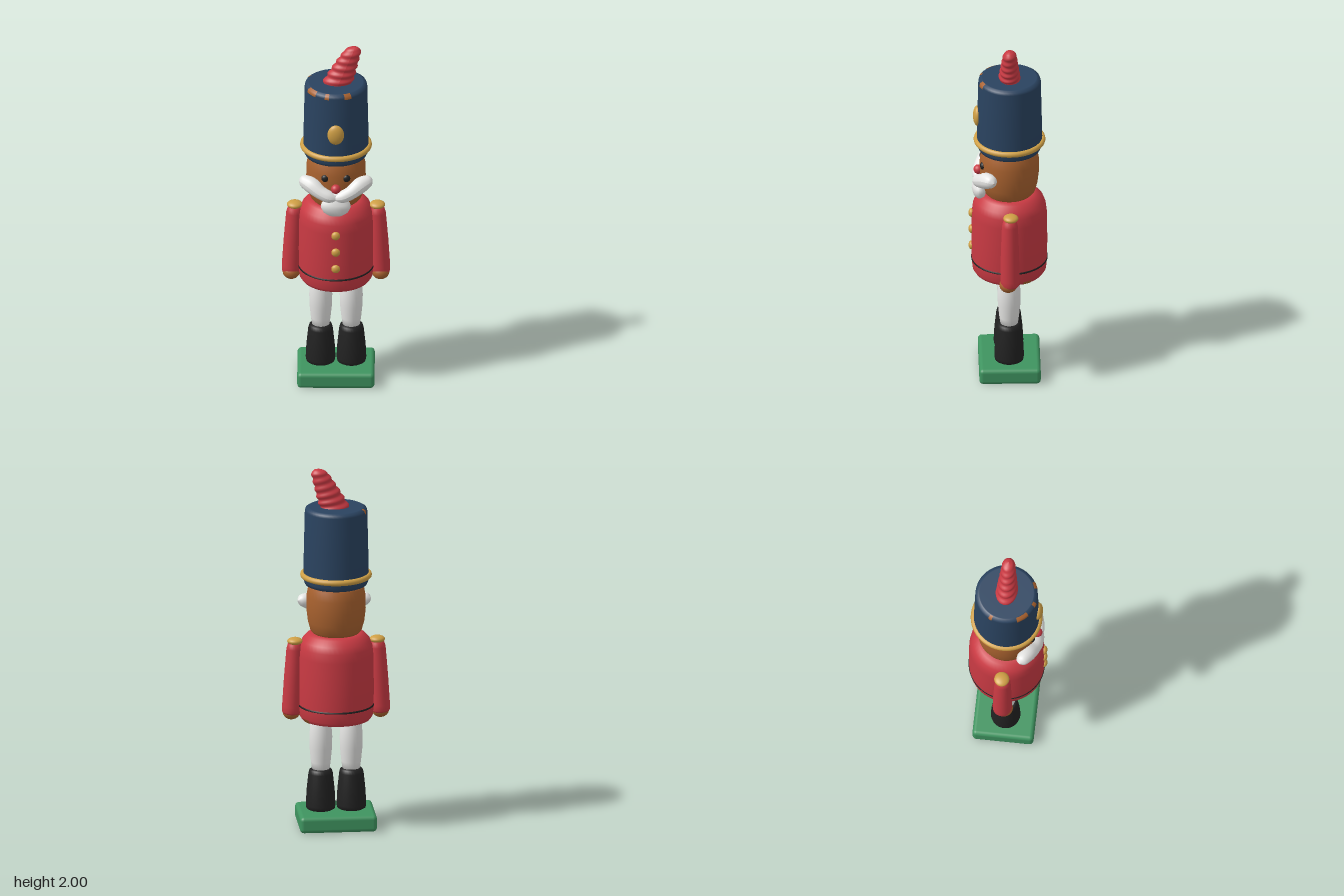
import * as THREE from 'three';
import { RoundedBoxGeometry } from 'three/addons/geometries/RoundedBoxGeometry.js';

const V = (x, y, z) => new THREE.Vector3(x, y, z);

function material(name, color) {
  const m = new THREE.MeshStandardMaterial({ color });
  m.name = name;
  return m;
}

// Turned shape from [radius, height] pairs listed bottom to top
function turned(profile, segments = 40, start = 0, length = Math.PI * 2) {
  return new THREE.LatheGeometry(profile.map(([r, y]) => new THREE.Vector2(r, y)), segments, start, length);
}

// Smooth tube along points [x, y, z, radius]
function taperedTube(points, steps = 24, sides = 18) {
  const path = new THREE.CatmullRomCurve3(points.map(([x, y, z]) => V(x, y, z)));
  const radius = new THREE.CatmullRomCurve3(points.map((p, i) => V(i, p[3], 0)));
  const geometry = new THREE.TubeGeometry(path, steps, 1, sides, false);
  const pos = geometry.attributes.position;
  for (let i = 0; i <= steps; i++) {
    const u = i / steps;
    const t = path.getUtoTmapping(u);
    const c = path.getPointAt(u);
    const r = Math.max(0.001, radius.getPoint(t).y);
    for (let j = 0; j <= sides; j++) {
      const k = i * (sides + 1) + j;
      const p = V(0, 0, 0).fromBufferAttribute(pos, k).sub(c).multiplyScalar(r).add(c);
      pos.setXYZ(k, p.x, p.y, p.z);
    }
  }
  geometry.computeVertexNormals();
  return geometry;
}

// Leaning plume with spiral ridges
function plumeGeometry() {
  const geometry = new THREE.CylinderGeometry(1, 1, 1, 28, 48, true);
  const pos = geometry.attributes.position;
  for (let i = 0; i < pos.count; i++) {
    const t = pos.getY(i) + 0.5;
    const a = Math.atan2(pos.getZ(i), pos.getX(i));
    const ridge = 1 + 0.06 * Math.sin(t * Math.PI * 12 + a);
    const end = Math.sqrt(Math.max(0, 1 - Math.pow(Math.max(0, (t - 0.87) / 0.13), 2)));
    const rx = (0.082 - 0.042 * t) * ridge * end;
    const rz = (0.06 - 0.028 * t) * ridge * end;
    const x = Math.cos(a) * rx;
    pos.setXYZ(i, x + 0.1 * t, 1.765 + 0.235 * t - x * 0.3 * t * (1 - t) * 2, Math.sin(a) * rz);
  }
  geometry.computeVertexNormals();
  return geometry;
}

export function createModel() {
  const model = new THREE.Group();
  model.name = 'toySoldier';
  const red = material('red paint', 0xc93a43);
  const navy = material('navy paint', 0x2a4360);
  const gold = material('gold paint', 0xcf9f45);
  const wood = material('bare wood', 0xa9622f);
  const green = material('green paint', 0x3f9460);
  const white = material('white paint', 0xe6e6e4);
  const black = material('black paint', 0x222222);

  function add(name, geometry, mat, x = 0, y = 0, z = 0) {
    const mesh = new THREE.Mesh(geometry, mat);
    mesh.name = name;
    mesh.position.set(x, y, z);
    model.add(mesh);
    return mesh;
  }
  function ball(name, mat, x, y, z, rx, ry = rx, rz = rx) {
    const mesh = add(name, new THREE.SphereGeometry(1, 24, 16), mat, x, y, z);
    mesh.scale.set(rx, ry, rz);
    return mesh;
  }

  // Base
  add('base', new RoundedBoxGeometry(0.415, 0.09, 0.33, 3, 0.022), green, 0, 0.048, -0.005);

  // Coat with dark belt line
  const coat = [[0, 0.6], [0.165, 0.6], [0.185, 0.605], [0.198, 0.625], [0.203, 0.68], [0.204, 0.8],
    [0.202, 0.96], [0.196, 1.01], [0.183, 1.045], [0.155, 1.075], [0.13, 1.085], [0, 1.09]];
  add('coat', turned(coat, 48), red, 0, 0, -0.005);
  add('beltLine', turned([[0.2, 0.679], [0.2055, 0.68], [0.2055, 0.689], [0.2, 0.69]], 48), black, 0, 0, -0.005);
  for (const y of [0.755, 0.855, 0.955]) ball('button', gold, 0, y, 0.198, 0.024, 0.024, 0.017);

  // Limbs
  for (const s of [-1, 1]) {
    const side = s > 0 ? 'left' : 'right';
    add(side + 'Boot', turned([[0, 0.095], [0.066, 0.095], [0.077, 0.102], [0.08, 0.12], [0.076, 0.2],
      [0.066, 0.295], [0.06, 0.315], [0.048, 0.322], [0, 0.322]], 28), black, s * 0.083, 0, -0.002);
    add(side + 'Leg', turned([[0, 0.3], [0.046, 0.31], [0.053, 0.36], [0.061, 0.44], [0.062, 0.5],
      [0.057, 0.57], [0.045, 0.62], [0, 0.63]], 28), white, s * 0.082, 0, -0.002);
    const arm = add(side + 'Arm', turned([[0, -0.2], [0.045, -0.2], [0.051, -0.19], [0.052, -0.16],
      [0.049, 0], [0.043, 0.16], [0.037, 0.185], [0.024, 0.2], [0, 0.203]], 28), red, s * 0.232, 0.835, -0.003);
    arm.rotation.z = s * 0.045;
    ball(side + 'Hand', wood, s * 0.24, 0.641, 0.006, 0.047, 0.042, 0.048);
    ball(side + 'Epaulette', gold, s * 0.222, 1.04, -0.008, 0.042, 0.02, 0.041);
  }

  // Head
  add('head', turned([[0, 1.075], [0.12, 1.08], [0.138, 1.1], [0.152, 1.15], [0.16, 1.22],
    [0.159, 1.29], [0.15, 1.34], [0.135, 1.365], [0, 1.37]]), wood, 0, 0, -0.005);
  for (const s of [-1, 1]) ball('eye', black, s * 0.057, 1.275, 0.139, 0.021, 0.021, 0.015);
  ball('nose', red, 0, 1.222, 0.162, 0.026);

  // Moustache and beard
  for (const s of [-1, 1]) {
    add('moustache', taperedTube([[-s * 0.02, 1.165, 0.165, 0.01], [s * 0.03, 1.173, 0.163, 0.032],
      [s * 0.08, 1.193, 0.15, 0.037], [s * 0.125, 1.22, 0.122, 0.044], [s * 0.165, 1.235, 0.1, 0.037],
      [s * 0.185, 1.238, 0.088, 0.026], [s * 0.197, 1.239, 0.082, 0.002]]), white);
  }
  const beard = add('beard', turned([[0, 1.055], [0.04, 1.062], [0.066, 1.08], [0.081, 1.11], [0.077, 1.133],
    [0.06, 1.15], [0.046, 1.17], [0.032, 1.195], [0, 1.2]], 28), white, 0, 0, 0.155);
  beard.scale.z = 0.52;

  // Tall hat
  add('hat', turned([[0, 1.35], [0.15, 1.35], [0.166, 1.357], [0.174, 1.375], [0.176, 1.42], [0.172, 1.6],
    [0.168, 1.765], [0.164, 1.778], [0.15, 1.786], [0.145, 1.787], [0, 1.787]], 48), navy, 0, 0, -0.006);
  const band = add('hatBand', new THREE.TorusGeometry(0.177, 0.016, 14, 56), gold, 0, 1.408, -0.006);
  band.rotation.x = Math.PI / 2;
  ball('hatBadge', gold, 0, 1.553, 0.166, 0.045, 0.058, 0.025);
  const plume = add('plume', plumeGeometry(), red);
  plume.position.z = -0.005;

  // Worn patches on the hat rim: start angle, width
  for (const [a, w] of [[-1.12, 0.42], [-0.36, 0.14], [0.28, 0.24], [-2.08, 0.12]]) {
    add('hatWornPatch', turned([[0.1695, 1.76], [0.1692, 1.767], [0.165, 1.779], [0.151, 1.7875]], 6, a, w),
      wood, 0, 0, -0.006);
  }
  // Worn patches under the coat hem
  for (const [a, w] of [[-1.5, 0.25], [1.95, 0.25]]) {
    add('coatWornPatch', turned([[0.166, 0.599], [0.186, 0.604], [0.1995, 0.625]], 6, a, w), wood, 0, 0, -0.005);
  }
  return model;
}
